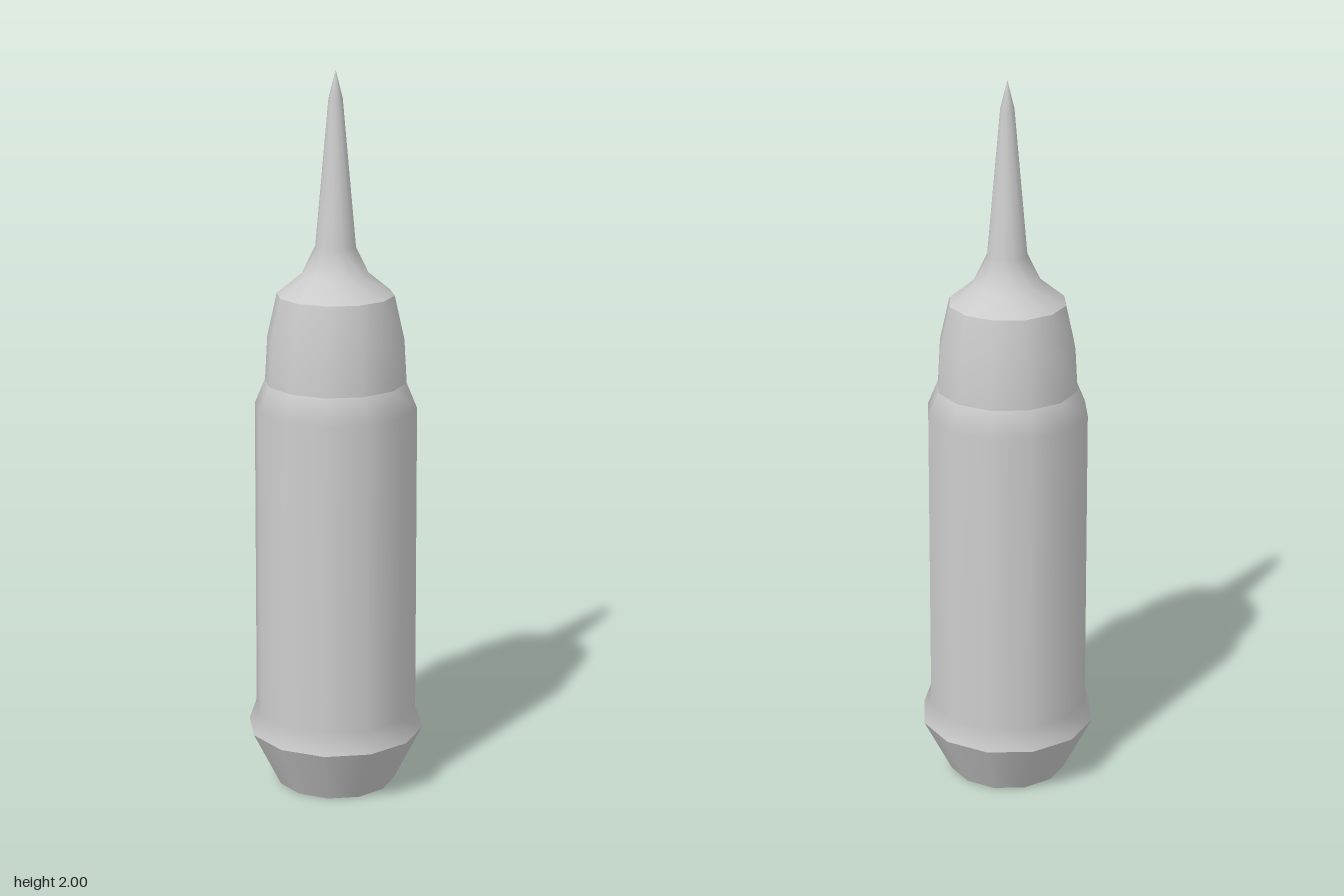
import * as THREE from 'three';

const SIDES = 12;
const TURN = 0.044; // slight twist of the facets about the axis

export function createModel() {
  const group = new THREE.Group();
  const material = new THREE.MeshStandardMaterial({ color: 0xcccccc });

  // Each section is a smooth lathe; edges stay sharp where sections meet.
  const addSection = (name, profile) => {
    const points = profile.map(([r, y]) => new THREE.Vector2(r, y));
    const mesh = new THREE.Mesh(new THREE.LatheGeometry(points, SIDES, TURN), material);
    mesh.name = name;
    group.add(mesh);
  };

  // Flat underside
  addSection('bottomCap', [[0, 0], [0.167, 0]]);
  // Flared foot
  addSection('foot', [[0.167, 0], [0.247, 0.16]]);
  // Long barrel with a sloped shoulder
  addSection('barrel', [[0.247, 0.16], [0.226, 0.22], [0.223, 1.09], [0.194, 1.16]]);
  // Narrower collar
  addSection('collar', [[0.194, 1.16], [0.187, 1.28], [0.16, 1.4]]);
  // Flared base rising into a thin pointed needle
  addSection('needle', [[0.16, 1.4], [0.092, 1.455], [0.055, 1.53], [0.019, 1.925], [0, 2]]);

  return group;
}
